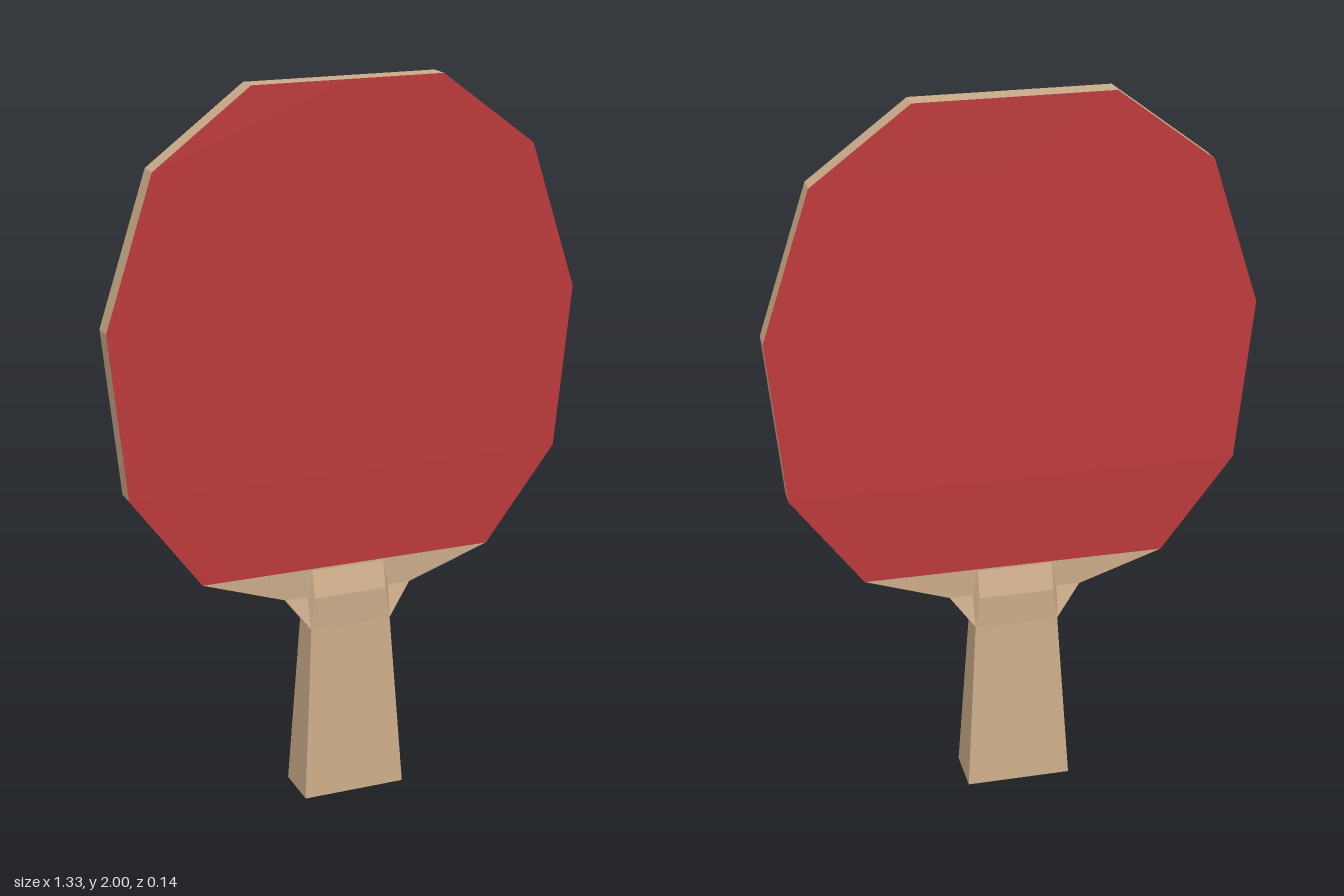
import * as THREE from 'three';

// Builds a flat-shaded mesh from polygons given for the +x +z quarter,
// mirrored to the other three quarters (corner order flips with each mirror).
function mirroredMesh(name, polygons, material) {
  const pos = [];
  for (const sx of [1, -1]) for (const sz of [1, -1]) {
    for (const poly of polygons) {
      const pts = poly.map(([x, y, z]) => [x * sx, y, z * sz]);
      if (sx * sz < 0) pts.reverse();
      for (let i = 1; i < pts.length - 1; i++) pos.push(...pts[0], ...pts[i], ...pts[i + 1]);
    }
  }
  const geo = new THREE.BufferGeometry();
  geo.setAttribute('position', new THREE.Float32BufferAttribute(pos, 3));
  geo.computeVertexNormals();
  const mesh = new THREE.Mesh(geo, material);
  mesh.name = name;
  return mesh;
}

// Front strip between two rows [y, halfWidth, halfDepth], lower row first
const frontStrip = ([y0, w0, d0], [y1, w1, d1]) => [[0, y0, d0], [w0, y0, d0], [w1, y1, d1], [0, y1, d1]];
// Right-hand edge between two rows
const edgeStrip = ([y0, w0, d0], [y1, w1, d1]) => [[w0, y0, d0], [w0, y0, 0], [w1, y1, 0], [w1, y1, d1]];

export function createModel() {
  const wood = new THREE.MeshStandardMaterial({ color: 0xcaab88 });
  wood.name = 'pale wood';
  const rubber = new THREE.MeshStandardMaterial({ color: 0xbd3a3c });
  rubber.name = 'red rubber';

  // Blade rows from the neck up: y, half width, half depth
  const blade = [
    [0.59, 0.185, 0.022], [0.67, 0.42, 0.022], [0.94, 0.618, 0.03],
    [1.395, 0.663, 0.03], [1.8, 0.53, 0.03], [2, 0.265, 0.03],
  ];
  const handle = [[0, 0.147, 0.07], [0.5, 0.117, 0.043]];

  const rubberFaces = [], edgeFaces = [];
  for (let i = 0; i < blade.length - 1; i++) {
    if (i > 0) rubberFaces.push(frontStrip(blade[i], blade[i + 1]));
    edgeFaces.push(edgeStrip(blade[i], blade[i + 1]));
  }
  // Flat top edge of the blade
  edgeFaces.push([[0, 2, 0.03], [0.265, 2, 0.03], [0.265, 2, 0], [0, 2, 0]]);

  // Bare wood under the rubber
  const shoulderFaces = [frontStrip(blade[0], blade[1])];

  // Tapered handle with its flat end
  const handleFaces = [
    frontStrip(handle[0], handle[1]),
    edgeStrip(handle[0], handle[1]),
    [[0, 0, 0], [0.147, 0, 0], [0.147, 0, 0.07], [0, 0, 0.07]],
  ];

  // Neck: flares out to the blade, with a raised wedge running up the middle
  const grip = [0.117, 0.5, 0.043], flare = [0.185, 0.59, 0.022];
  const foot = [0.12, 0.59, 0.022], ridge = [0.105, 0.59, 0.043], tip = [0.105, 0.665, 0.022];
  const neckFaces = [
    [[0, 0.5, 0.043], grip, ridge, [0, 0.59, 0.043]],
    [[0, 0.59, 0.043], ridge, tip, [0, 0.665, 0.022]],
    [grip, flare, foot],
    [grip, foot, ridge],
    [ridge, foot, tip],
    edgeStrip(handle[1], blade[0]),
  ];

  const model = new THREE.Group();
  model.name = 'paddle';
  model.add(
    mirroredMesh('rubberFaces', rubberFaces, rubber),
    mirroredMesh('bladeEdge', edgeFaces, wood),
    mirroredMesh('bladeShoulder', shoulderFaces, wood),
    mirroredMesh('neck', neckFaces, wood),
    mirroredMesh('handle', handleFaces, wood),
  );
  return model;
}
